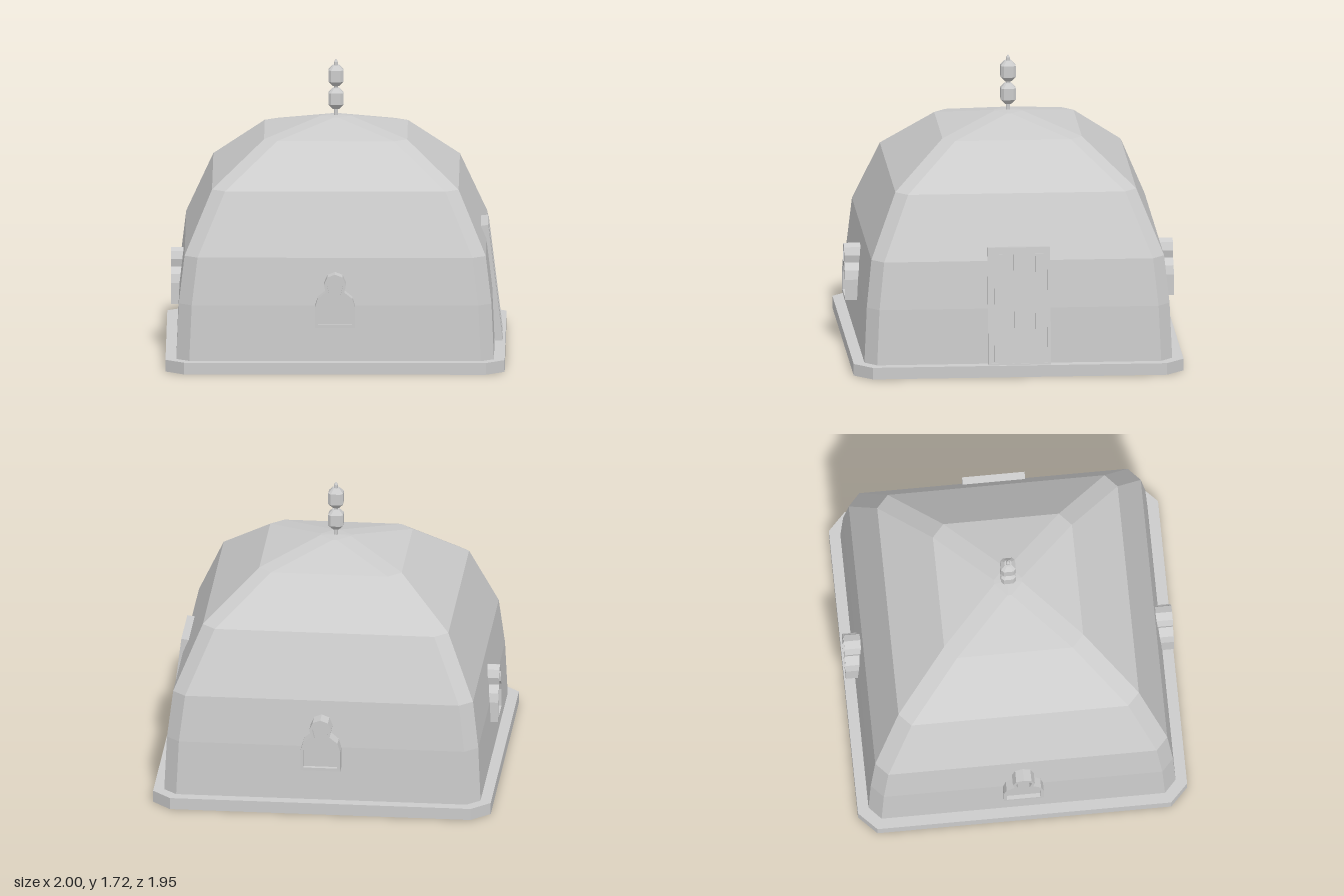
import * as THREE from 'three';

const material = new THREE.MeshStandardMaterial({ color: 0xcccccc, flatShading: true });

function addMesh(parent, name, geometry, x = 0, y = 0, z = 0) {
  const mesh = new THREE.Mesh(geometry, material);
  mesh.name = name;
  mesh.position.set(x, y, z);
  parent.add(mesh);
  return mesh;
}

// Stacks chamfered rectangles; each ring is [y, halfX, halfZ, chamferX, chamferZ]
function loft(rings) {
  const positions = [], index = [];
  for (const [y, w, d, cx, cz = cx] of rings) {
    const ring = [[w, d - cz], [w - cx, d], [cx - w, d], [-w, d - cz],
      [-w, cz - d], [cx - w, -d], [w - cx, -d], [w, cz - d]];
    for (const [x, z] of ring) positions.push(x, y, z);
  }
  const last = (rings.length - 1) * 8;
  for (let r = 0; r < last; r += 8) {
    for (let i = 0; i < 8; i++) {
      const a = r + i, b = r + (i + 1) % 8;
      index.push(a, a + 8, b, a + 8, b + 8, b);
    }
  }
  for (let i = 1; i < 7; i++) {
    index.push(0, i, i + 1, last, last + i + 1, last + i);
  }
  const geometry = new THREE.BufferGeometry();
  geometry.setAttribute('position', new THREE.Float32BufferAttribute(positions, 3));
  geometry.setIndex(index);
  const flat = geometry.toNonIndexed();
  flat.computeVertexNormals();
  return flat;
}

// Mirrors the right half of an outline (bottom to top, last point on the axis)
function mirrored(half) {
  const left = half.slice(0, -1).reverse().map(([x, y]) => [-x, y]);
  return [...half, ...left].map(([x, y]) => new THREE.Vector2(x, y));
}

function extrude(outline, hole, depth) {
  const shape = new THREE.Shape(outline);
  if (hole) shape.holes.push(new THREE.Path(hole));
  return new THREE.ExtrudeGeometry(shape, { depth, bevelEnabled: false });
}

// Keyhole window with a projecting frame, facing +z
function createWindow(name, angle) {
  const group = new THREE.Group();
  group.name = name;
  const outer = mirrored([[0.118, 0.277], [0.118, 0.4], [0.102, 0.453], [0.055, 0.49],
    [0.065, 0.535], [0.045, 0.58], [0, 0.597]]);
  const inner = mirrored([[0.1, 0.295], [0.1, 0.4], [0.086, 0.44], [0.034, 0.478],
    [0.048, 0.535], [0.033, 0.567], [0, 0.579]]);
  addMesh(group, 'windowFrame', extrude(outer, inner, 0.115), 0, 0, 0.857);
  addMesh(group, 'windowPane', extrude(inner, null, 0.09), 0, 0, 0.857);
  group.rotation.y = angle;
  return group;
}

// Leaning plank door on the +x wall
function createDoor() {
  const group = new THREE.Group();
  group.name = 'door';
  const h = 0.697, w = 0.185, t = 0.045, edge = 0.018;
  for (const s of [-1, 1]) {
    addMesh(group, 'doorJamb', new THREE.BoxGeometry(t, h, edge), -t / 2, h / 2, s * (w - edge / 2));
  }
  for (const y of [edge / 4, h - edge / 2]) {
    addMesh(group, 'doorRail', new THREE.BoxGeometry(t, y < 0.1 ? edge / 2 : edge, 2 * (w - edge)), -t / 2, y, 0);
  }
  addMesh(group, 'doorPanel', new THREE.BoxGeometry(0.03, h - edge, 2 * (w - edge)), -0.03, h / 2, 0);
  for (const z of [-0.122, 0, 0.122]) {
    addMesh(group, 'doorBatten', new THREE.BoxGeometry(0.014, 0.647, z ? 0.05 : 0.06), -0.01, 0.333, z);
  }
  group.position.set(0.984, 0.07, 0);
  group.rotation.z = 0.123;
  return group;
}

export function createModel() {
  const model = new THREE.Group();
  model.name = 'domedHut';

  addMesh(model, 'base', loft([[0, 1, 0.975, 0.11, 0.105], [0.07, 1, 0.975, 0.11, 0.105]]));

  // Four-sided dome with narrow chamfered corners
  addMesh(model, 'dome', loft([
    [0.06, 0.937, 0.91, 0.077, 0.07],
    [0.4, 0.922, 0.895, 0.077, 0.07],
    [0.68, 0.888, 0.865, 0.077, 0.07],
    [1.05, 0.727, 0.712, 0.077, 0.07],
    [1.3, 0.422, 0.412, 0.077, 0.07],
    [1.385, 0.09, 0.082, 0.077, 0.07],
    [1.39, 0.004, 0.004, 0.001],
  ]));

  // Finial: thin rod carrying two faceted beads and a pointed tip
  const finial = new THREE.Group();
  finial.name = 'finial';
  addMesh(finial, 'finialRod', loft([[1.37, 0.011, 0.011, 0.004], [1.69, 0.011, 0.011, 0.004],
    [1.705, 0.011, 0.011, 0.004], [1.72, 0.003, 0.003, 0.001]]));
  for (const y of [1.488, 1.624]) {
    addMesh(finial, 'finialBead', loft([[-0.062, 0.02, 0.02, 0.009], [-0.034, 0.044, 0.044, 0.016],
      [0.034, 0.044, 0.044, 0.016], [0.062, 0.02, 0.02, 0.009]]), 0, y, 0);
  }
  model.add(finial);

  model.add(createDoor());
  model.add(createWindow('frontWindow', 0));
  model.add(createWindow('backWindow', Math.PI));
  model.add(createWindow('rightWindow', -Math.PI / 2));
  return model;
}
